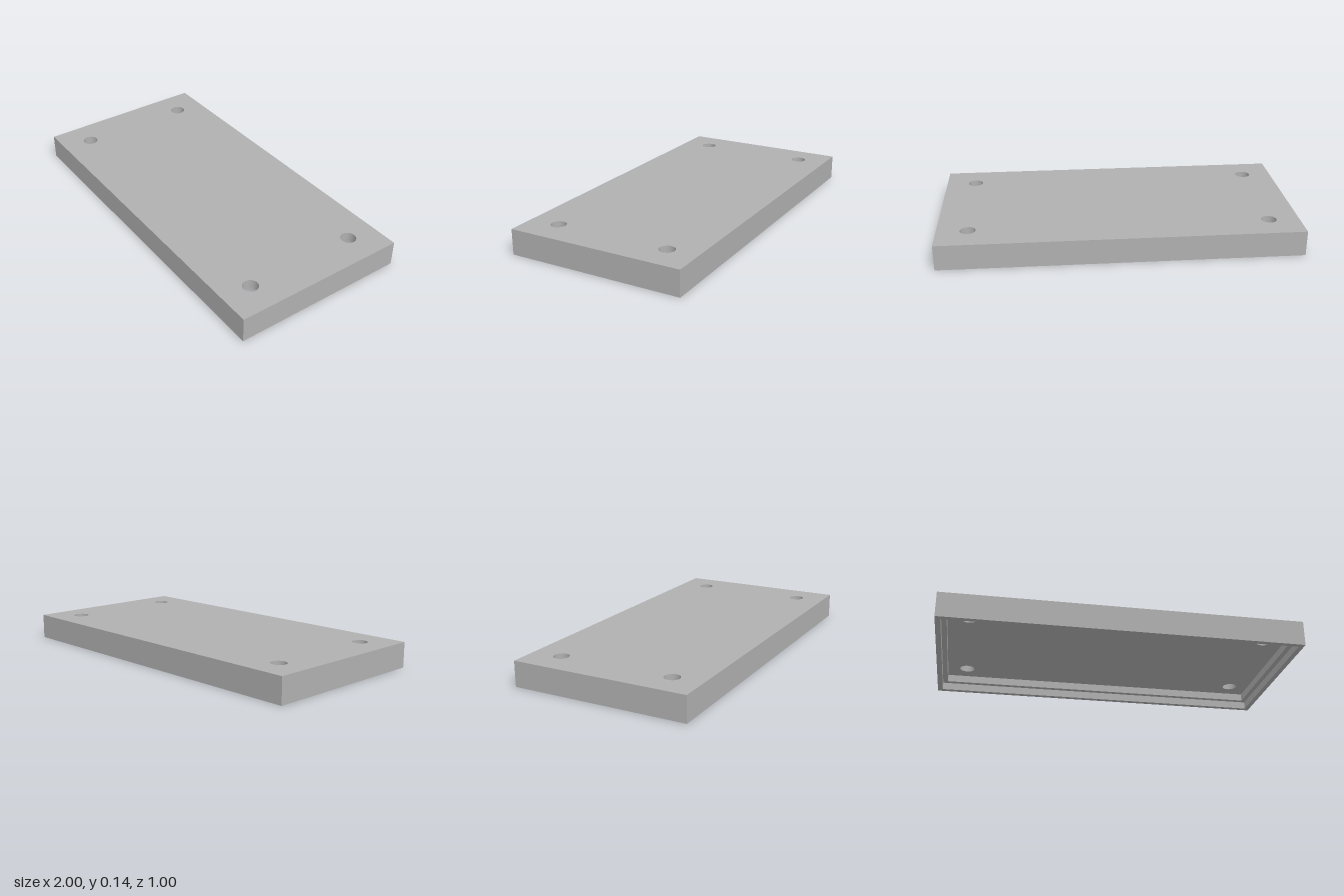
import * as THREE from 'three';

const H = 0.143;               // overall height
const OUTER = [1, 0.5];        // half sizes of the outer edge
const RIM = [0.971, 0.471];    // opening inside the rim
const POCKET = [0.943, 0.443]; // inner, deeper recess
const LEDGE_Y = 0.043;
const CEILING_Y = 0.086;
const HOLE = { x: 0.829, z: 0.329, r: 0.043 };

const corners = [[1, 1], [1, -1], [-1, -1], [-1, 1]];

function rectangle(Type, [hx, hz]) {
  return new Type(corners.map(([sx, sz]) => new THREE.Vector2(sx * hx, sz * hz)));
}

// Flat horizontal face, with an optional rectangular opening or the screw holes
function face(size, y, up, opening) {
  const shape = rectangle(THREE.Shape, size);
  if (opening) {
    shape.holes.push(rectangle(THREE.Path, opening));
  } else {
    for (const [sx, sz] of corners) {
      const hole = new THREE.Path();
      hole.absarc(sx * HOLE.x, sz * HOLE.z, HOLE.r, 0, Math.PI * 2);
      shape.holes.push(hole);
    }
  }
  return new THREE.ShapeGeometry(shape, 16)
    .rotateX(up ? -Math.PI / 2 : Math.PI / 2)
    .translate(0, y, 0);
}

// Four upright walls; mirroring turns them to face inwards
function walls([hx, hz], y0, y1, inward) {
  const tube = new THREE.CylinderGeometry(Math.SQRT2, Math.SQRT2, y1 - y0, 4, 1, true)
    .rotateY(Math.PI / 4)
    .scale(inward ? -hx : hx, 1, hz)
    .translate(0, (y0 + y1) / 2, 0)
    .toNonIndexed();
  tube.computeVertexNormals();
  return tube;
}

// Round bore seen from the inside
function bore(x, z) {
  const tube = new THREE.CylinderGeometry(HOLE.r, HOLE.r, H - CEILING_Y, 32, 1, true)
    .scale(-1, 1, 1);
  tube.computeVertexNormals();
  return tube.translate(x, (H + CEILING_Y) / 2, z);
}

export function createModel() {
  const grey = new THREE.MeshStandardMaterial({ color: 0xb0b0b0 });
  grey.name = 'grey';
  const lid = new THREE.Group();
  lid.name = 'lid';
  const add = (name, geometry) => {
    const mesh = new THREE.Mesh(geometry, grey);
    mesh.name = name;
    lid.add(mesh);
  };

  // Outside
  add('topFace', face(OUTER, H, true));
  add('outerWalls', walls(OUTER, 0, H, false));

  // Stepped recess underneath
  add('rim', face(OUTER, 0, false, RIM));
  add('rimInnerWalls', walls(RIM, 0, LEDGE_Y, true));
  add('ledge', face(RIM, LEDGE_Y, false, POCKET));
  add('pocketWalls', walls(POCKET, LEDGE_Y, CEILING_Y, true));
  add('pocketCeiling', face(POCKET, CEILING_Y, false));

  // Screw holes
  for (const [sx, sz] of corners) add('screwHole', bore(sx * HOLE.x, sz * HOLE.z));

  return lid;
}
